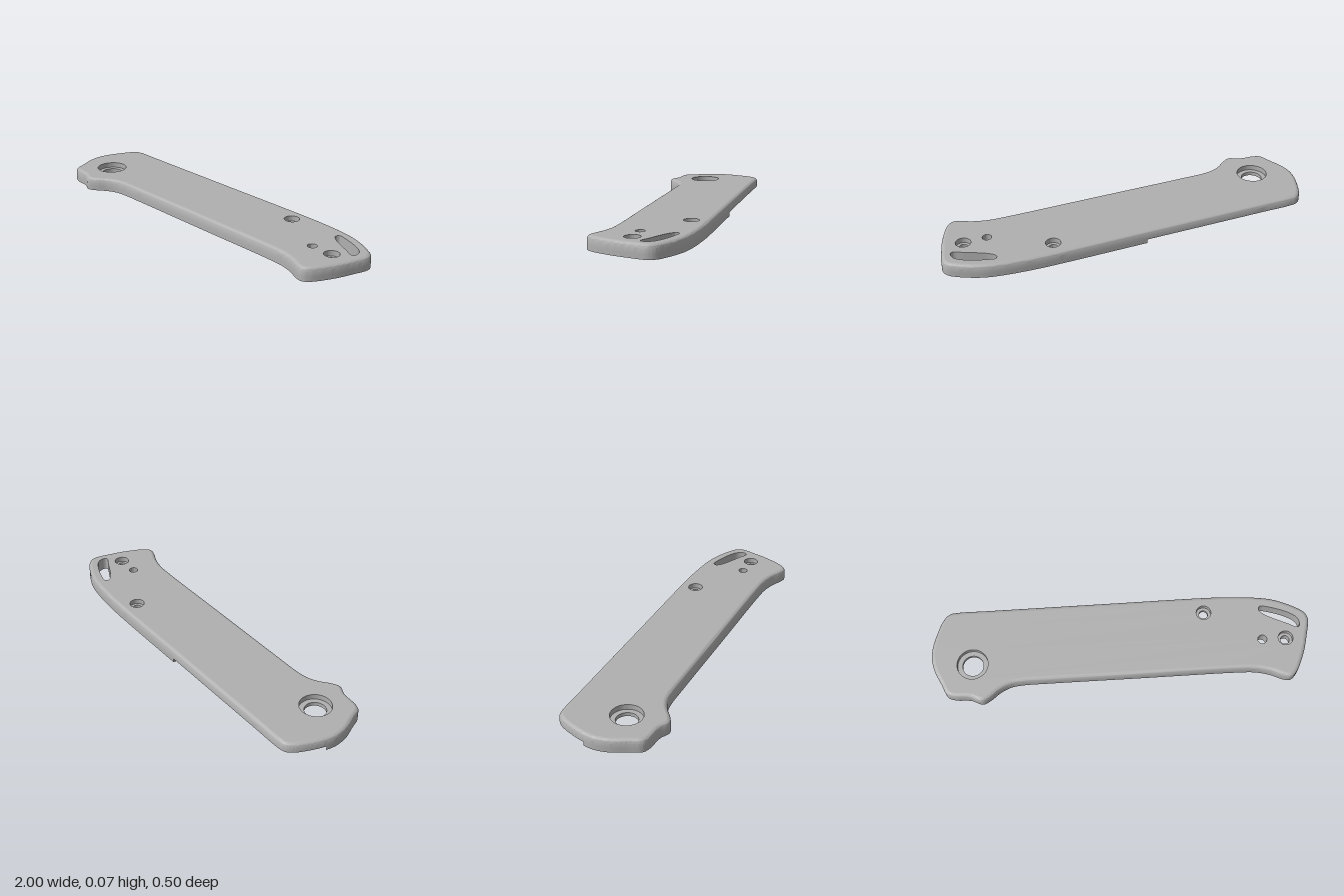
import * as THREE from 'three';
import { toCreasedNormals } from 'three/addons/utils/BufferGeometryUtils.js';

const V = (p) => new THREE.Vector3(p[0], p[1], 0);
const HEIGHT = 0.07, ROUND = 0.02, RECESS = 0.022, SEAT = 0.042;

// Smooth 2D path (x, z) through a few points, eight samples per span
function smooth(points, closed) {
  const curve = new THREE.CatmullRomCurve3(points.map(V), closed, 'centripetal');
  const spans = closed ? points.length : points.length - 1;
  const out = curve.getPoints(spans * 8).map((p) => new THREE.Vector2(p.x, p.y));
  if (closed) out.pop();
  return out;
}

function circle(x, z, r, n = 40) {
  return Array.from({ length: n }, (_, i) => {
    const a = (i / n) * Math.PI * 2;
    return new THREE.Vector2(x + r * Math.cos(a), z + r * Math.sin(a));
  });
}

const ccw = (pts) => (THREE.ShapeUtils.area(pts) > 0 ? pts : pts.slice().reverse());

// Moves a counter-clockwise loop inwards
function inset(pts, d) {
  const n = pts.length;
  return pts.map((p, i) => {
    const t = pts[(i + 1) % n].clone().sub(pts[(i + n - 1) % n]).normalize();
    return new THREE.Vector2(p.x - t.y * d, p.y + t.x * d);
  });
}

// Flat face with holes, facing up or down
function cap(pts, holes, y, up) {
  const shape = new THREE.Shape(pts);
  shape.holes = holes.map((h) => new THREE.Path(h));
  const g = new THREE.ShapeGeometry(shape);
  g.rotateX(Math.PI / 2).translate(0, y, 0);
  if (up) g.setIndex(Array.from(g.index.array).reverse());
  g.computeVertexNormals();
  return g;
}

// Side wall lofted through rings [points, y] from bottom to top
function wall(rings) {
  const n = rings[0][0].length, pos = [], idx = [];
  rings.forEach(([pts, y]) => pts.forEach((p) => pos.push(p.x, y, p.y)));
  for (let r = 0; r < rings.length - 1; r++) {
    for (let i = 0; i < n; i++) {
      const a = r * n + i, b = r * n + ((i + 1) % n);
      idx.push(a, a + n, b, b, a + n, b + n);
    }
  }
  const g = new THREE.BufferGeometry();
  g.setAttribute('position', new THREE.Float32BufferAttribute(pos, 3));
  g.setIndex(idx);
  return toCreasedNormals(g, 0.6);
}

const holeWall = (pts, y0, y1) => {
  const p = ccw(pts).slice().reverse();
  return wall([[p, y0], [p, y1]]);
};

export function createModel() {
  const group = new THREE.Group();
  group.name = 'handleScale';
  const grey = new THREE.MeshStandardMaterial({ color: 0xb0b0b0 });
  grey.name = 'grey';
  const add = (name, g) => {
    const m = new THREE.Mesh(g, grey);
    m.name = name;
    group.add(m);
  };

  // Handle outline: butt end, front edge, tail end, then the straight back
  const control = [
    [-0.993, -0.07], [-1, -0.012], [-0.987, 0.06], [-0.95, 0.14], [-0.922, 0.197], [-0.885, 0.214],
    [-0.8, 0.223], [-0.742, 0.247], [-0.7, 0.229], [-0.644, 0.187], [-0.59, 0.163], [-0.53, 0.155],
    [-0.4, 0.154], [0.1, 0.156], [0.6, 0.158], [0.69, 0.163], [0.767, 0.182], [0.83, 0.21],
    [0.866, 0.217], [0.898, 0.195], [0.95, 0.09], [0.981, -0.015], [0.998, -0.1], [0.984, -0.136],
    [0.944, -0.167], [0.83, -0.219], [0.725, -0.24], [0.564, -0.253], [0.43, -0.256],
    [-0.03, -0.256], [-0.7, -0.256], [-0.86, -0.256], [-0.905, -0.248], [-0.937, -0.215], [-0.975, -0.13],
  ];
  const outline = smooth(control, true);
  const body = ccw(outline);

  // Recess boundary under the handle, open to the back edge and the butt
  const recess = smooth([
    [-0.03, -0.215], [0.2, -0.215], [0.44, -0.215], [0.5, -0.2], [0.525, -0.165], [0.5, -0.13],
    [0.44, -0.115], [0.2, -0.115], [-0.3, -0.115], [-0.58, -0.115], [-0.622, -0.09], [-0.64, -0.03],
    [-0.657, 0.08], [-0.71, 0.155], [-0.79, 0.18], [-0.87, 0.155], [-0.93, 0.08], [-0.965, 0],
  ], false);
  const exit = control.findIndex((p) => p[0] === -0.03) * 8;
  const rim = ccw(outline.slice(0, exit + 1).concat(recess));

  // Openings
  const slot = smooth([
    [0.738, -0.165], [0.748, -0.183], [0.775, -0.18], [0.885, -0.142], [0.937, -0.105],
    [0.946, -0.065], [0.932, -0.053], [0.885, -0.075], [0.765, -0.135],
  ], true);
  const pin = circle(0.74, 0.005, 0.024);
  const bores = [
    { name: 'pivot', x: -0.785, z: 0.045, r: 0.055, R: 0.081, y: RECESS },
    { name: 'backScrew', x: 0.445, z: -0.165, r: 0.023, R: 0.039, y: RECESS },
    { name: 'tailScrew', x: 0.863, z: 0.005, r: 0.023, R: 0.039, y: 0 },
  ].map((b) => ({ ...b, inner: circle(b.x, b.z, b.r), outer: circle(b.x, b.z, b.R) }));
  const blind = [[-0.12, -0.184], [-0.64, -0.187], [-0.92, -0.18]].map(([x, z]) => circle(x, z, 0.022));

  // Outer side with a rounded upper edge
  const rings = [[body, RECESS]];
  for (let i = 0; i <= 6; i++) {
    const a = (i / 6) * Math.PI / 2;
    rings.push([inset(body, ROUND * (1 - Math.cos(a))), HEIGHT - ROUND + ROUND * Math.sin(a)]);
  }
  add('outerSide', wall(rings));
  add('topFace', cap(rings[7][0], [slot, pin, ...bores.map((b) => b.outer)], HEIGHT, true));

  // Underside rim and recess floor
  add('rimSide', wall([[rim, 0], [rim, RECESS]]));
  add('underside', cap(rim, [slot, pin, bores[2].inner], 0, false));
  add('recessFloor', cap(body, [slot, pin, ...bores.map((b) => b.inner), ...blind], RECESS, false));

  // Through openings
  add('slotWall', holeWall(slot, 0, HEIGHT));
  add('pinHoleWall', holeWall(pin, 0, HEIGHT));
  for (const b of bores) {
    add(b.name + 'Bore', holeWall(b.inner, b.y, SEAT));
    add(b.name + 'Counterbore', holeWall(b.outer, SEAT, HEIGHT));
    add(b.name + 'Seat', cap(b.outer, [b.inner], SEAT, true));
  }

  // Blind holes in the recess
  for (const h of blind) {
    add('blindHoleWall', holeWall(h, RECESS, SEAT));
    add('blindHoleEnd', cap(h, [], SEAT, false));
  }
  return group;
}
